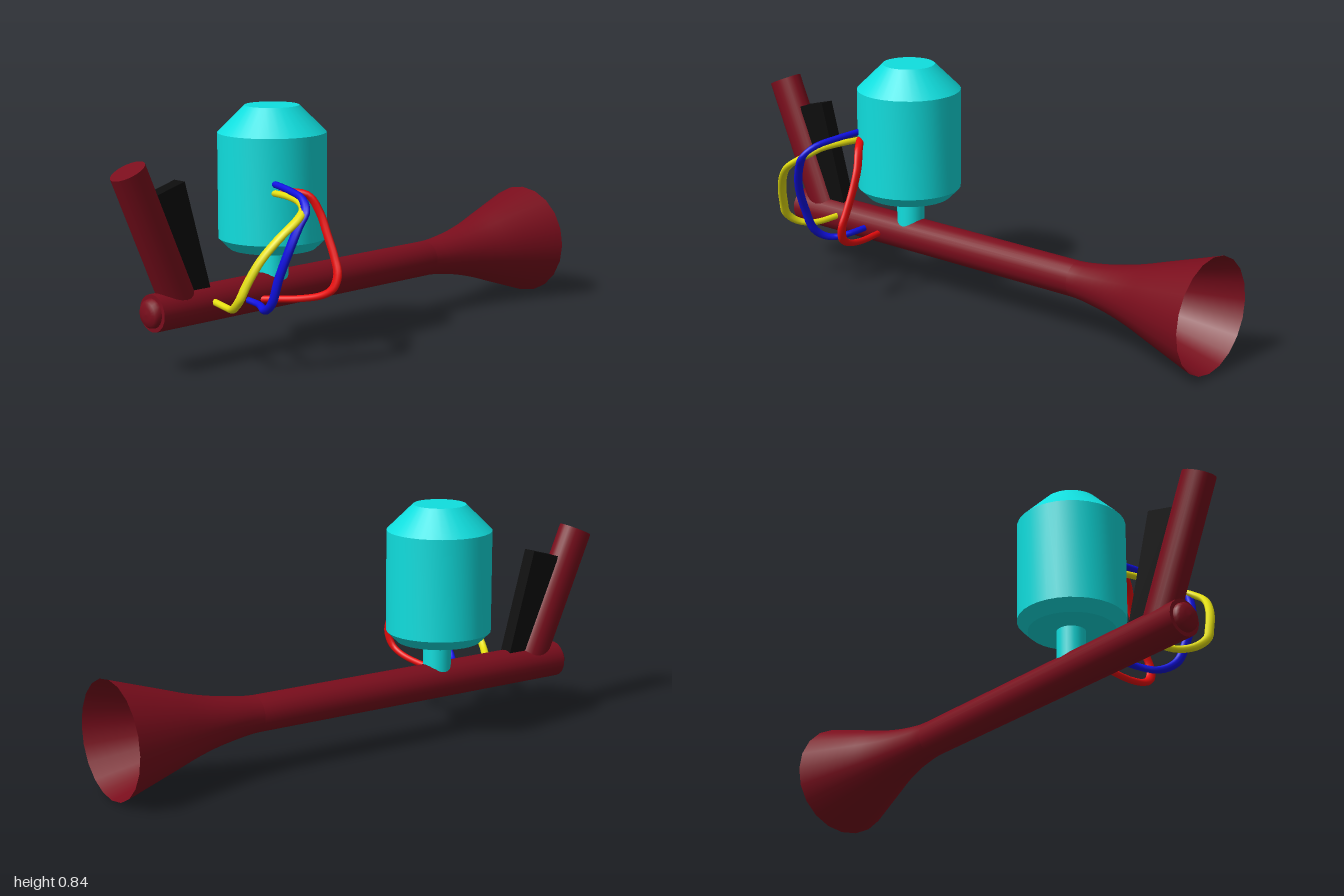
import * as THREE from 'three';
import { toCreasedNormals } from 'three/addons/utils/BufferGeometryUtils.js';

const AXIS_X = -0.09;
const BARREL_Y = 0.207;

const material = (color) => new THREE.MeshStandardMaterial({ color, side: THREE.DoubleSide });
const vec2 = ([r, y]) => new THREE.Vector2(r, y);

export function createModel() {
  const model = new THREE.Group();
  const maroon = material(0x7a0d1c);
  const cyan = material(0x10dede);
  const black = material(0x0c0c0c);

  const add = (name, geometry, mat, x, y, z) => {
    const mesh = new THREE.Mesh(geometry, mat);
    mesh.name = name;
    mesh.position.set(x, y, z);
    model.add(mesh);
    return mesh;
  };

  // Straight barrel, open behind into the horn, with a flat rim at the front
  const barrel = new THREE.LatheGeometry(
    [[0.064, -0.45], [0.064, 0.85], [0.05, 0.85]].map(vec2), 20);
  add('barrel', toCreasedNormals(barrel.rotateX(Math.PI / 2), 0.6), maroon, AXIS_X, BARREL_Y, 0);

  // Domed plug in the front of the barrel
  const dome = new THREE.LatheGeometry(
    [[0.05, 0.85], [0.048, 0.862], [0.04, 0.871], [0.022, 0.876], [0, 0.878]].map(vec2), 20);
  add('frontPlug', dome.rotateX(Math.PI / 2), maroon, AXIS_X, BARREL_Y, 0);

  // Hollow flared horn at the back
  const flare = new THREE.SplineCurve(
    [[0.204, -1], [0.172, -0.9], [0.14, -0.8], [0.108, -0.7], [0.084, -0.6],
      [0.068, -0.5], [0.064, -0.45]].map(vec2));
  const horn = new THREE.LatheGeometry(flare.getPoints(18), 20);
  add('horn', horn.rotateX(Math.PI / 2), maroon, AXIS_X, BARREL_Y, 0);

  // Chamfered tank standing on a short neck
  const tank = new THREE.LatheGeometry(
    [[0, 0.355], [0.15, 0.355], [0.187, 0.392], [0.187, 0.755], [0.094, 0.847], [0, 0.847]].map(vec2), 32);
  add('tank', toCreasedNormals(tank, 0.5), cyan, AXIS_X, 0, 0.315);
  add('tankNeck', new THREE.CylinderGeometry(0.05, 0.05, 0.14, 24), cyan, AXIS_X, 0.295, 0.31);

  // Oval handle leaning forward
  const handle = new THREE.CylinderGeometry(0.0525, 0.0525, 0.5, 24).scale(1, 1, 1.23);
  handle.translate(0, -0.25, 0);
  add('handle', handle, maroon, AXIS_X, 0.687, 0.94).rotation.x = 0.415;

  // Black block behind the handle
  const block = new THREE.BoxGeometry(0.053, 0.4, 0.117).translate(0, -0.2, 0);
  add('handleBlock', block, black, AXIS_X, 0.617, 0.782).rotation.x = 0.275;

  // Cables from the tank down to the barrel, wider across x than in y and z
  const STRETCH = 1.6;
  const cable = (name, color, points) => {
    const curve = new THREE.CatmullRomCurve3(
      points.map(([x, y, z]) => new THREE.Vector3(x / STRETCH, y, z)));
    const tube = new THREE.TubeGeometry(curve, 48, 0.0115, 10).scale(STRETCH, 1, 1);
    add(name, tube, material(color), 0, 0, 0);
  };
  cable('yellowCable', 0xe6e010, [
    [0.04, 0.572, 0.43], [0.14, 0.573, 0.45], [0.21, 0.567, 0.47], [0.25, 0.55, 0.49],
    [0.27, 0.52, 0.54], [0.26, 0.475, 0.6], [0.225, 0.4, 0.655], [0.19, 0.32, 0.685],
    [0.165, 0.265, 0.695], [0.115, 0.226, 0.68], [0.06, 0.215, 0.65], [-0.035, 0.22, 0.63]]);
  cable('blueCable', 0x0f0fe0, [
    [0.045, 0.603, 0.43], [0.14, 0.595, 0.45], [0.23, 0.58, 0.475], [0.27, 0.545, 0.5],
    [0.265, 0.5, 0.525], [0.245, 0.42, 0.55], [0.205, 0.32, 0.56], [0.17, 0.24, 0.555],
    [0.135, 0.208, 0.545], [0.095, 0.193, 0.525], [0.04, 0.2, 0.495], [-0.035, 0.205, 0.485]]);
  cable('redCable', 0xee0c0c, [
    [0.055, 0.58, 0.42], [0.13, 0.57, 0.36], [0.165, 0.51, 0.335], [0.195, 0.44, 0.33],
    [0.23, 0.365, 0.33], [0.25, 0.31, 0.335], [0.235, 0.26, 0.345], [0.195, 0.235, 0.355],
    [0.115, 0.215, 0.375], [-0.035, 0.197, 0.42]]);

  return model;
}
